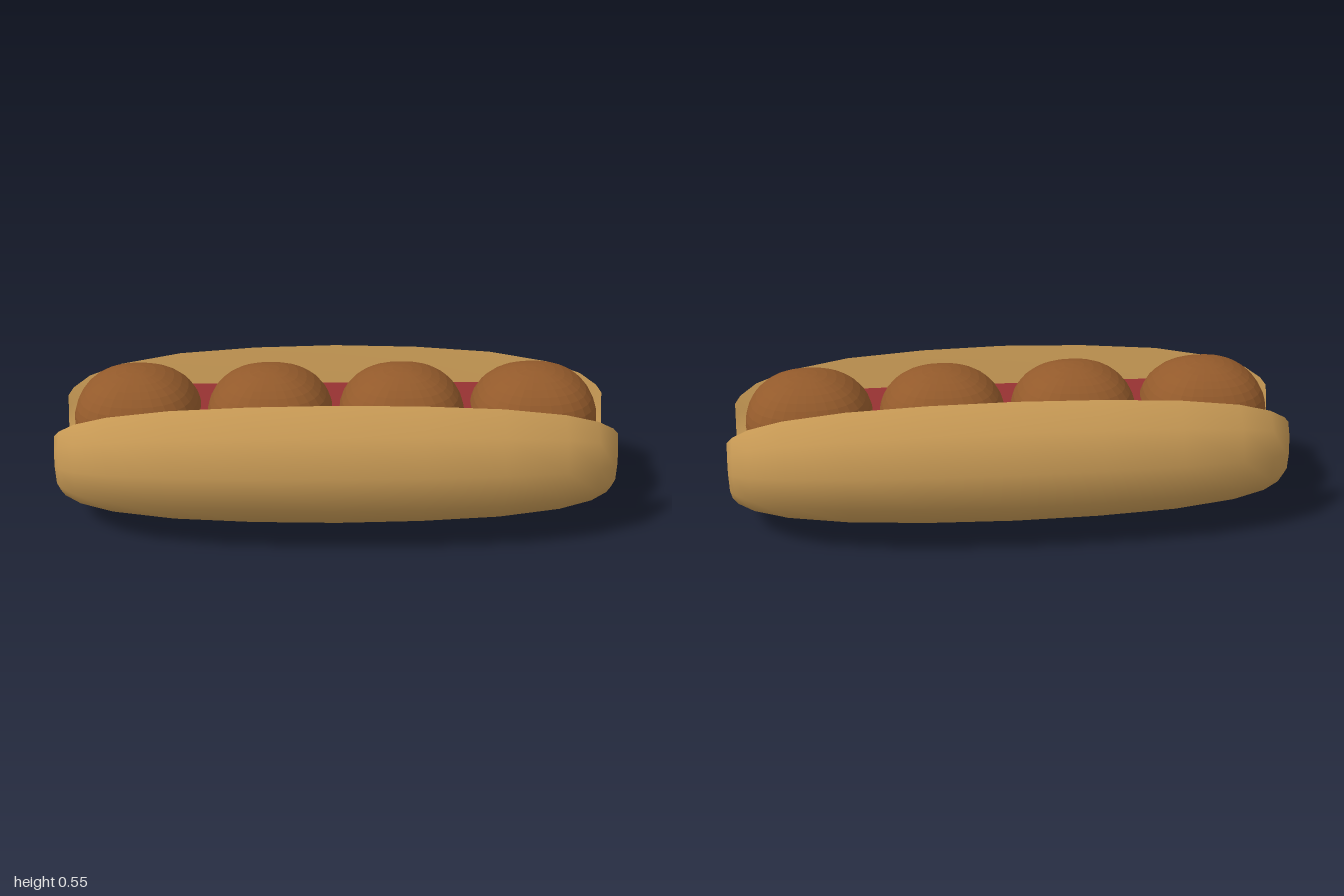
import * as THREE from 'three';
import { toCreasedNormals } from 'three/addons/utils/BufferGeometryUtils.js';

// Stations along x: [distance from the middle, blend from middle to end section]
const bunStations = [[0, 0], [0.3, 0.04], [0.58, 0.15], [0.8, 0.36], [0.92, 0.6], [0.98, 0.84], [1, 1]];
const sauceStations = [[0, 0], [0.78, 0], [0.95, 1]];

// Half sections as [z, y], from the bottom centre round to the top centre
const bunMiddle = [[0, 0.004], [0.165, 0.034], [0.3, 0.088], [0.405, 0.197], [0.414, 0.33],
  [0.355, 0.46], [0.25, 0.53], [0.2, 0.41], [0.145, 0.26], [0, 0.175]];
const bunEnd = [[0, 0.1], [0.08, 0.112], [0.145, 0.14], [0.198, 0.2], [0.206, 0.27],
  [0.19, 0.33], [0.162, 0.37], [0.145, 0.33], [0.11, 0.24], [0, 0.175]];
const sauceMiddle = [[0, 0.17], [0.145, 0.25], [0.195, 0.4], [0, 0.4]];
const sauceEnd = [[0, 0.174], [0.1, 0.236], [0.115, 0.27], [0, 0.28]];

// Mirrors a half section into a closed ring: +z side first, then the -z side
function closeRing(half) {
  const inner = half.slice(1, -1);
  return [
    ...inner.slice().reverse(),
    half[0],
    ...inner.map(([z, y]) => [-z, y]),
    half[half.length - 1],
  ];
}

// Lofts blended rings along x and closes both ends
function loft(stations, middle, end, crease) {
  const all = [...stations.slice(1).reverse().map(([x, t]) => [-x, t]), ...stations];
  const rings = all.map(([x, t]) => closeRing(middle.map(([z, y], i) => [
    THREE.MathUtils.lerp(z, end[i][0], t),
    THREE.MathUtils.lerp(y, end[i][1], t),
  ])).map(([z, y]) => [x, y, z]));
  const n = rings[0].length;
  const index = [];
  for (let i = 0; i < rings.length - 1; i++) {
    for (let j = 0; j < n; j++) {
      const a = i * n + j, b = i * n + (j + 1) % n;
      index.push(a, b, b + n, a, b + n, a + n);
    }
  }
  const last = (rings.length - 1) * n;
  const outline = rings[rings.length - 1].map(([, y, z]) => new THREE.Vector2(-z, y));
  for (const [a, b, c] of THREE.ShapeUtils.triangulateShape(outline, [])) {
    index.push(last + a, last + b, last + c, c, b, a);
  }
  const geometry = new THREE.BufferGeometry();
  geometry.setAttribute('position', new THREE.Float32BufferAttribute(rings.flat(2), 3));
  geometry.setIndex(index);
  return toCreasedNormals(geometry, crease);
}

// A ball that is slightly squared off when seen from above
function ballGeometry() {
  const geometry = new THREE.SphereGeometry(1, 32, 20);
  const p = geometry.attributes.position;
  const power = 2.5;
  for (let i = 0; i < p.count; i++) {
    const x = p.getX(i), z = p.getZ(i);
    const r = Math.hypot(x, z);
    if (r < 1e-5) continue;
    const k = r / Math.pow(Math.abs(x) ** power + Math.abs(z) ** power, 1 / power);
    p.setX(i, x * k);
    p.setZ(i, z * k);
  }
  geometry.scale(0.228, 0.178, 0.206);
  return geometry;
}

export function createModel() {
  const group = new THREE.Group();
  const add = (name, geometry, material) => {
    const mesh = new THREE.Mesh(geometry, material);
    mesh.name = name;
    group.add(mesh);
    return mesh;
  };

  // Split bread roll with a trough along the top
  add('bun', loft(bunStations, bunMiddle, bunEnd, 1.05),
    new THREE.MeshStandardMaterial({ color: 0xc89a55 }));

  // Sauce filling the trough
  add('sauce', loft(sauceStations, sauceMiddle, sauceEnd, 0.6),
    new THREE.MeshStandardMaterial({ color: 0x963232 }));

  // Row of four meatballs
  const ball = ballGeometry();
  const meat = new THREE.MeshStandardMaterial({ color: 0x935a2b, flatShading: true });
  for (let i = 0; i < 4; i++) {
    add('meatball' + (i + 1), ball, meat).position.set((i - 1.5) * 0.478, 0.377, 0);
  }
  return group;
}
